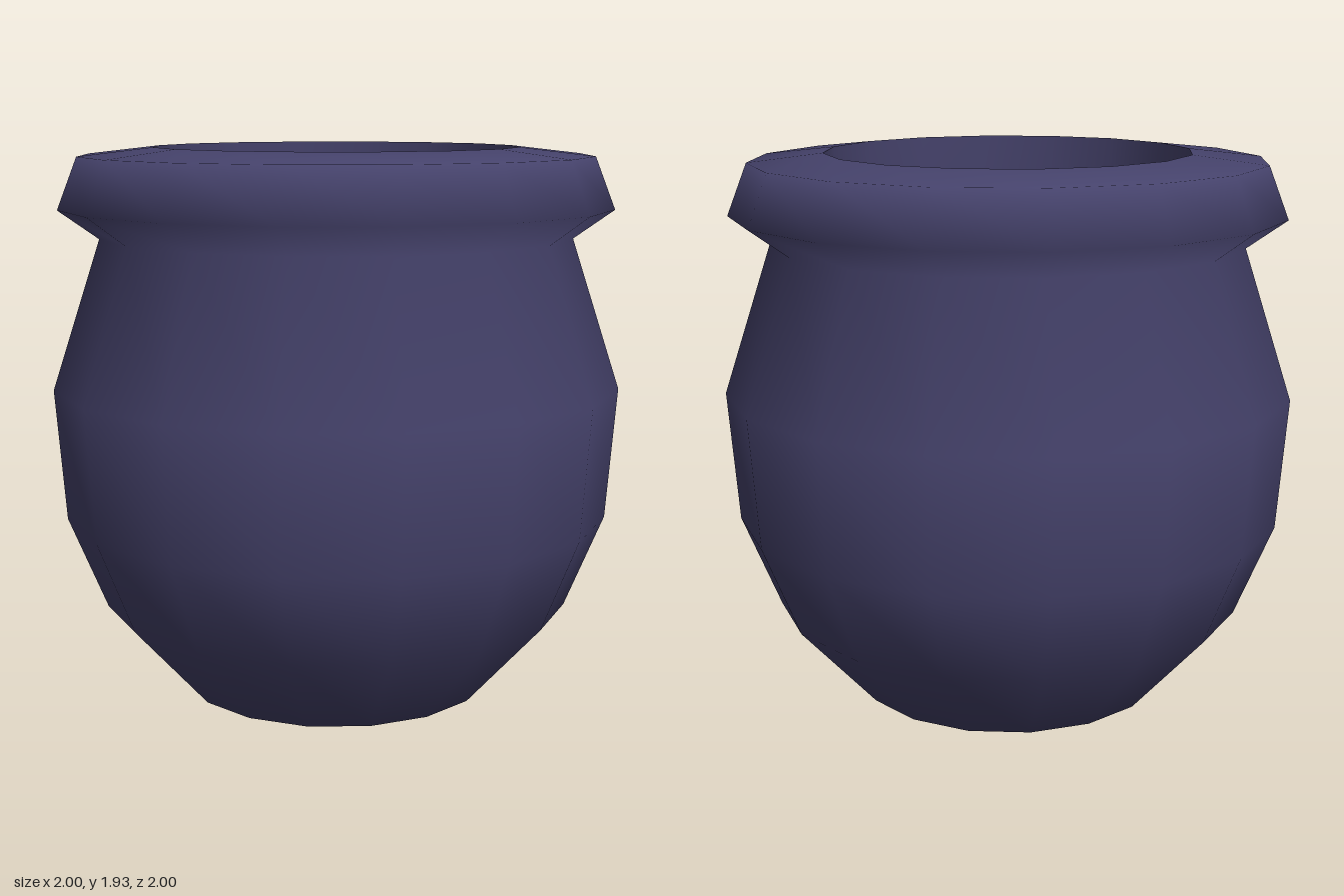
import * as THREE from 'three';

const SIDES = 16;

// Turns a profile of [radius, height] pairs into a smooth 16-sided part
function turned(name, profile, material) {
  const points = profile.map(([r, y]) => new THREE.Vector2(r, y));
  const mesh = new THREE.Mesh(new THREE.LatheGeometry(points, SIDES), material);
  mesh.name = name;
  return mesh;
}

export function createModel() {
  const group = new THREE.Group();
  group.name = 'pot';
  const clay = new THREE.MeshStandardMaterial({ color: 0x45426b });

  // Base, rounded belly, neck and overhanging lip
  group.add(turned('outerShell', [
    [0, 0], [0.55, 0], [0.83, 0.31], [0.965, 0.64], [1, 1.1],
    [0.83, 1.62], [0.97, 1.72], [0.9, 1.9], [0.64, 1.93],
  ], clay));

  // Hollow bowl, with a sharp edge at the mouth
  group.add(turned('innerBowl', [
    [0.64, 1.93], [0.64, 1.6], [0.67, 1.1], [0.63, 0.65],
    [0.5, 0.36], [0.28, 0.2], [0, 0.15],
  ], clay));

  return group;
}
